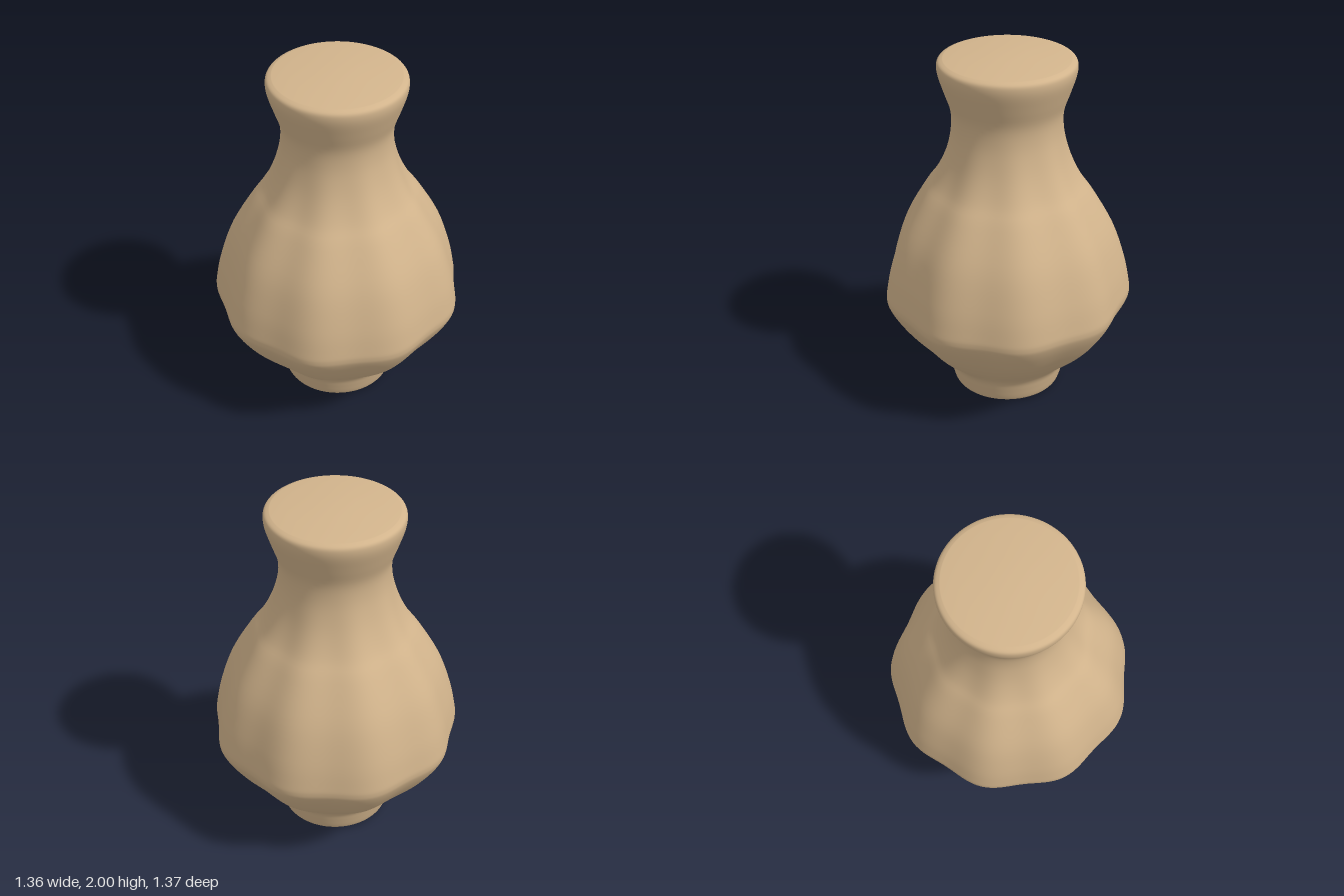
import * as THREE from 'three';
import { mergeVertices } from 'three/addons/utils/BufferGeometryUtils.js';

export function createModel() {
  const group = new THREE.Group();
  group.name = 'vase';
  const clay = new THREE.MeshStandardMaterial({ color: 0xd2b48c });
  clay.name = 'tan clay';

  // Profile [radius, height] from the foot, over the belly and neck, to the rim
  const profile = [
    [0.275, 0.012], [0.298, 0.022], [0.31, 0.05], [0.323, 0.1], [0.338, 0.15],
    [0.375, 0.2], [0.48, 0.3], [0.565, 0.4], [0.632, 0.5], [0.668, 0.57],
    [0.677, 0.61], [0.672, 0.66], [0.643, 0.8], [0.576, 1.0], [0.466, 1.2],
    [0.398, 1.3], [0.35, 1.4], [0.318, 1.5], [0.3, 1.6], [0.302, 1.7],
    [0.334, 1.8], [0.363, 1.89], [0.37, 1.94], [0.362, 1.967], [0.335, 1.98],
  ].map(([r, y]) => new THREE.Vector2(r, y));
  const side = new THREE.SplineCurve(profile).getPoints(96);

  // Slightly domed base and closed top
  const points = [
    new THREE.Vector2(0, 0), new THREE.Vector2(0.14, 0.004), ...side,
    new THREE.Vector2(0.25, 1.989), new THREE.Vector2(0.12, 1.997), new THREE.Vector2(0, 2),
  ];
  let geometry = new THREE.LatheGeometry(points, 144);

  // Nine soft ridges around the belly, fading into the round foot and neck
  const pos = geometry.attributes.position;
  for (let i = 0; i < pos.count; i++) {
    const x = pos.getX(i), y = pos.getY(i), z = pos.getZ(i);
    const fade = THREE.MathUtils.smoothstep(y, 0.12, 0.4) * (1 - THREE.MathUtils.smoothstep(y, 1.2, 1.75));
    const s = 1 + 0.021 * fade * Math.cos(9 * Math.atan2(z, x));
    pos.setXYZ(i, x * s, y, z * s);
  }

  // Weld the seam so the shading is smooth all round
  geometry.deleteAttribute('uv');
  geometry.deleteAttribute('normal');
  geometry = mergeVertices(geometry, 1e-4);
  geometry.computeVertexNormals();

  const body = new THREE.Mesh(geometry, clay);
  body.name = 'vaseBody';
  body.position.x = -0.01;
  group.add(body);
  return group;
}
